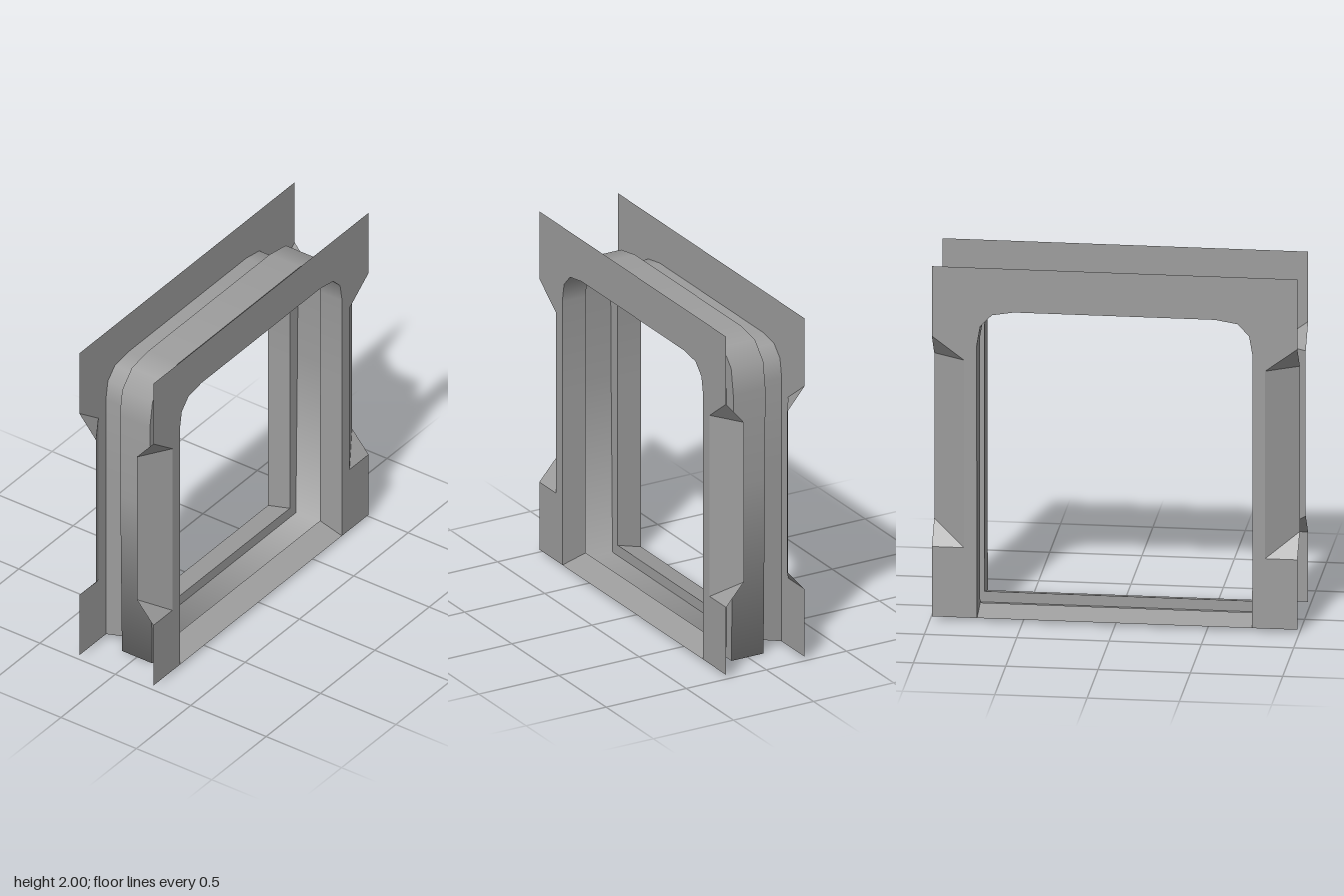
import * as THREE from 'three';

const Z_FACE = 0.245, Z_GROOVE = 0.1, W = 0.99, Y_BOTTOM = 0.02, Y_TOP = 2;

const material = new THREE.MeshStandardMaterial({ color: 0x9d9d9d, side: THREE.DoubleSide });

// Right half of an arch, mirrored to a full path running right foot -> top -> left foot
const mirrorPath = (half) => [...half, ...half.map(([x, y]) => [-x, y]).reverse()];

const opening = (floor) => mirrorPath([
  [0.745, floor], [0.747, 1.03], [0.747, 1.56], [0.728, 1.67], [0.665, 1.735], [0.545, 1.755],
]);
const grooveArch = mirrorPath([
  [0.8, 0], [0.815, 1.03], [0.82, 1.56], [0.797, 1.71], [0.708, 1.805], [0.56, 1.83],
]);

function addMesh(parent, name, geometry) {
  const mesh = new THREE.Mesh(geometry, material);
  mesh.name = name;
  parent.add(mesh);
  return mesh;
}

// Band of quads between two paths of equal length
function strip(a, za, b, zb, closed) {
  const n = a.length, index = [];
  const points = [...a.map(([x, y]) => [x, y, za]), ...b.map(([x, y]) => [x, y, zb])];
  for (let i = 0; i < (closed ? n : n - 1); i++) {
    const j = (i + 1) % n;
    index.push(i, j, n + i, j, n + j, n + i);
  }
  const g = new THREE.BufferGeometry();
  g.setAttribute('position', new THREE.Float32BufferAttribute(points.flat(), 3));
  g.setIndex(index);
  g.computeVertexNormals();
  return g;
}

// Strip along z whose normals point inwards, averaged evenly at every path point
function smoothStrip(a, za, b, zb, closed) {
  const g = strip(a, za, b, zb, closed), n = a.length;
  const inward = a.map(([x, y], i) => {
    const [nx, ny] = a[(i + 1) % n];
    return new THREE.Vector2(y - ny, nx - x).normalize();
  });
  for (let i = 0; i < n; i++) {
    const before = inward[!closed && i === 0 ? 0 : (i + n - 1) % n];
    const after = inward[!closed && i === n - 1 ? n - 2 : i];
    const v = before.clone().add(after).normalize();
    g.attributes.normal.setXYZ(i, v.x, v.y, 0);
    g.attributes.normal.setXYZ(n + i, v.x, v.y, 0);
  }
  return g;
}

// Flat fan of corners, mirrored in x when side is -1
function facet(corners, side) {
  const pts = corners.map(([x, y, z]) => [x * side, y, z]);
  if (side < 0) pts.reverse();
  const tris = [];
  for (let i = 1; i < pts.length - 1; i++) tris.push(...pts[0], ...pts[i], ...pts[i + 1]);
  const g = new THREE.BufferGeometry();
  g.setAttribute('position', new THREE.Float32BufferAttribute(tris, 3));
  g.computeVertexNormals();
  return g;
}

// Everything on one side of the central groove
function createHalf() {
  const half = new THREE.Group();
  const outer = opening(Y_BOTTOM), inner = opening(0.06);

  // Face plate: arch outline with a notch cut into each outer edge
  const rightEdge = [
    [W, Y_BOTTOM], [W, 0.415], [0.815, 0.415], [0.815, 1.475], [W, 1.605], [W, Y_TOP],
  ];
  const outline = [...mirrorPath(rightEdge), ...[...outer].reverse()];
  addMesh(half, 'facePlate', new THREE.ShapeGeometry(
    new THREE.Shape(outline.map(([x, y]) => new THREE.Vector2(x, y))))).position.z = Z_FACE;

  // Recessed bevels on the outer edges
  const a = [0.815, 0.415, Z_FACE], b = [W, 0.54, 0.135], c = [W, 1.475, 0.135];
  const d = [0.815, 1.475, Z_FACE], e = [W, 0.415, Z_FACE], f = [W, 1.605, Z_FACE];
  for (const side of [1, -1]) {
    const label = side > 0 ? 'left' : 'right';
    addMesh(half, label + 'EdgeBevel', facet([a, b, c, d], side));
    addMesh(half, label + 'BevelLowerEnd', facet([a, e, b], side));
    addMesh(half, label + 'BevelUpperEnd', facet([d, c, f], side));
  }

  // Doorway lining, sloped threshold and the wall of the groove
  addMesh(half, 'doorLining', smoothStrip(outer, Z_FACE, inner, Z_GROOVE, false));
  addMesh(half, 'thresholdRamp', facet([
    [-0.745, Y_BOTTOM, Z_FACE], [0.745, Y_BOTTOM, Z_FACE],
    [0.745, 0.06, Z_GROOVE], [-0.745, 0.06, Z_GROOVE],
  ], 1));
  addMesh(half, 'grooveWall', strip(inner, Z_GROOVE, grooveArch, Z_GROOVE, true));
  return half;
}

export function createModel() {
  const model = new THREE.Group();
  model.name = 'doorFrame';

  const front = createHalf();
  front.name = 'frontHalf';
  const back = createHalf();
  back.name = 'backHalf';
  back.rotation.y = Math.PI;
  model.add(front, back);

  // Groove bed running all round the doorway
  addMesh(model, 'grooveBed', smoothStrip(grooveArch, Z_GROOVE, grooveArch, -Z_GROOVE, true));
  return model;
}
